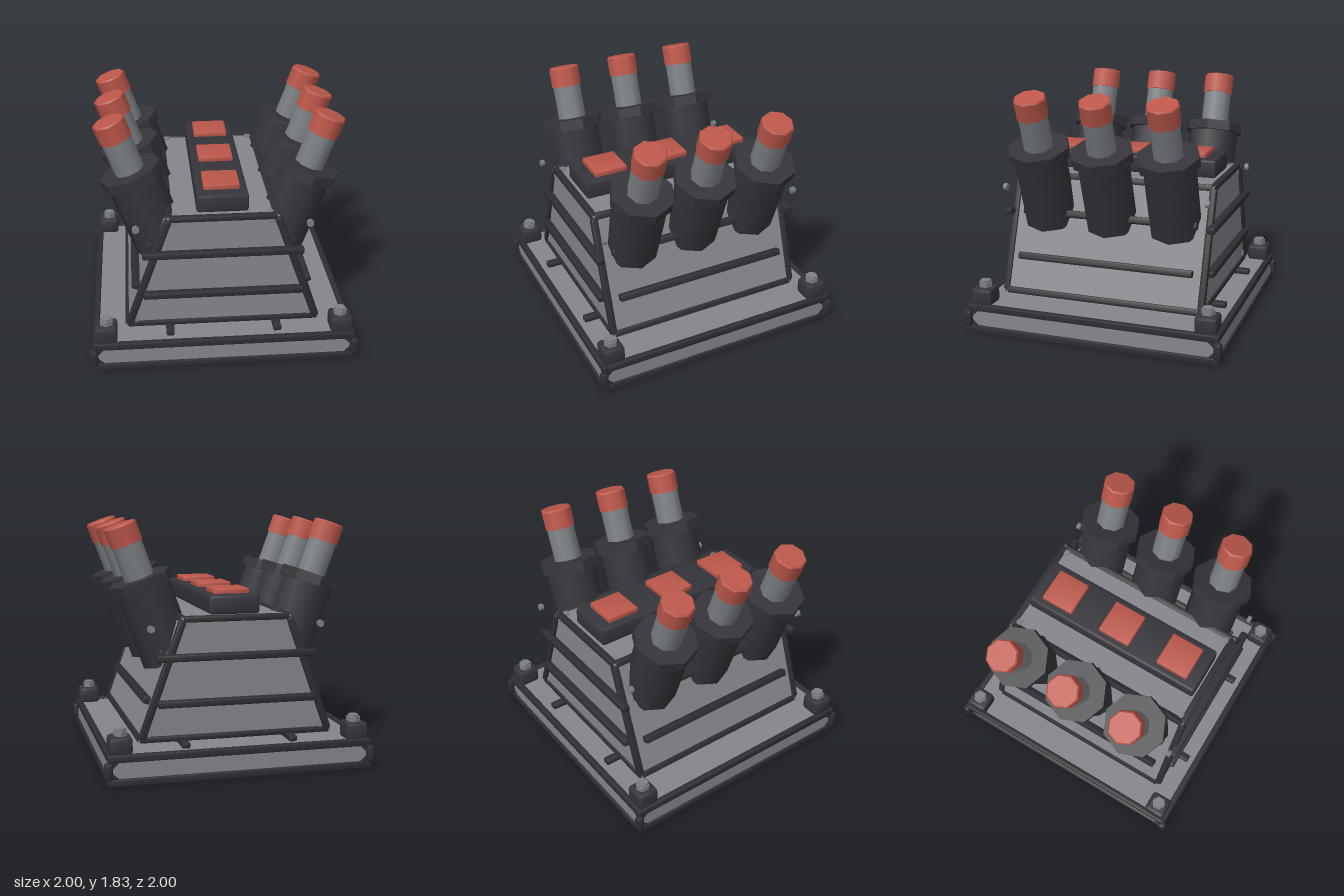
import * as THREE from 'three';
import { toCreasedNormals } from 'three/addons/utils/BufferGeometryUtils.js';
import { RoundedBoxGeometry } from 'three/addons/geometries/RoundedBoxGeometry.js';

const mat = (name, color) => {
  const m = new THREE.MeshStandardMaterial({ color });
  m.name = name;
  return m;
};

export function createModel() {
  const model = new THREE.Group();
  model.name = 'launcherBlock';
  const grey = mat('panelGrey', 0x84868b);
  const steel = mat('steelGrey', 0x7c8084);
  const dark = mat('housingDark', 0x35343a);
  const trim = mat('trimDark', 0x2e2e33);
  const red = mat('warningRed', 0xbc574a);

  const add = (name, geo, material, x = 0, y = 0, z = 0, rz = 0, parent = model) => {
    const mesh = new THREE.Mesh(geo, material);
    mesh.name = name;
    mesh.position.set(x, y, z);
    mesh.rotation.z = rz;
    parent.add(mesh);
    return mesh;
  };
  // box with chamfered edges
  const bevelBox = (w, h, d, r = 0.012) => toCreasedNormals(new RoundedBoxGeometry(w, h, d, 1, r), 0.4);
  const cyl = (r, h, n = 8, rTop = r) => new THREE.CylinderGeometry(rTop, r, h, n);
  const shape = points => new THREE.Shape(points.map(p => new THREE.Vector2(...p)));
  const extrude = (points, depth) => new THREE.ExtrudeGeometry(shape(points), { depth, bevelEnabled: false });
  const signs = [-1, 1];

  // base slab with its edge frame
  add('baseSlab', new THREE.BoxGeometry(1.92, 0.208, 1.92), grey, 0, 0.106, 0);
  for (const s of signs) {
    for (const y of [0.03, 0.2]) {
      add('baseRailX', bevelBox(1.95, 0.055, 0.045, 0.01), trim, 0, y, s * 0.9525);
      add('baseRailZ', bevelBox(0.045, 0.055, 1.95, 0.01), trim, s * 0.9525, y, 0);
    }
    for (const t of signs) {
      add('basePost', bevelBox(0.06, 0.13, 0.06, 0.022), trim, s * 0.97, 0.115, t * 0.97);
    }
  }

  // small triangular plates that cut the corners of the base side panels
  const gusset = extrude([[0, 0], [0.05, 0], [0, 0.05]], 0.008);
  for (let side = 0; side < 4; side++) {
    const face = new THREE.Group();
    face.name = 'baseCorners';
    face.rotation.y = side * Math.PI / 2;
    model.add(face);
    [[-0.945, 0.055], [0.945, 0.055], [0.945, 0.175], [-0.945, 0.175]].forEach(([x, y], k) =>
      add('baseGusset', gusset, trim, x, y, 0.96, k * Math.PI / 2, face));
  }

  // corner blocks with hex bolts
  for (const s of signs) for (const t of signs) {
    add('cornerBlock', bevelBox(0.165, 0.13, 0.165, 0.024), dark, s * 0.875, 0.28, t * 0.87);
    add('cornerBolt', toCreasedNormals(cyl(0.052, 0.04, 6), 0.4), steel, s * 0.87, 0.362, t * 0.87);
    add('cornerBoltTip', cyl(0.04, 0.016, 8), steel, s * 0.87, 0.388, t * 0.87);
  }

  // tapered body
  const [xb, yb, xt, yt] = [0.725, 0.25, 0.405, 1.14];
  const lean = Math.atan2(xb - xt, yt - yb);
  const slopeX = y => xb - (y - yb) * Math.tan(lean);
  add('body', extrude([[-xb, yb], [xb, yb], [xt, yt], [-xt, yt]], 1.55), grey, 0, 0, -0.775);

  const slant = Math.hypot(xb - xt, yt - yb);
  for (const s of signs) {
    // frame and bars of the front and back faces
    add('frameBottom', bevelBox(1.43, 0.045, 0.05), trim, 0, 0.272, s * 0.765);
    add('frameTop', bevelBox(0.78, 0.045, 0.05), trim, 0, 1.13, s * 0.765);
    for (const t of signs) {
      add('frameSlant', bevelBox(0.055, slant - 0.04, 0.055, 0.018), trim,
        t * ((xb + xt) / 2 - 0.016), (yb + yt) / 2 + 0.005, s * 0.772, t * lean);
    }
    for (const y of [0.53, 0.86]) {
      add('faceBar', bevelBox(1.18, 0.052, 0.06), trim, 0, y, s * 0.803);
      add('sideBar', bevelBox(0.06, 0.055, 1.38), trim, s * (slopeX(y) + 0.02), y + 0.01, 0, s * lean);
    }
    // frame along the body sides
    add('sideFrameBottom', bevelBox(0.05, 0.05, 1.53), trim, s * 0.704, 0.275, 0, s * lean);
    add('sideFrameTop', bevelBox(0.05, 0.05, 1.53), trim, s * 0.39, 1.128, 0, s * lean);
    // skids beneath the body
    add('skid', bevelBox(0.06, 0.045, 1.78), trim, s * 0.4, 0.242, 0);
    // screws in the panel corners and beside the tubes
    for (const t of signs) {
      for (const y of [0.315, 1.09]) {
        add('panelScrew', cyl(0.026, 0.02, 6), steel, s * (slopeX(y) - 0.055), y, t * 0.772).rotation.x = Math.PI / 2;
      }
      add('topScrew', cyl(0.028, 0.02, 6), steel, s * 0.345, 1.14, t * 0.725);
      add('outerBolt', cyl(0.028, 0.03, 6), steel, s * 0.63, 1.07, t * 0.79).rotation.x = Math.PI / 2;
    }
  }

  // control box with three buttons
  add('controlBox', bevelBox(0.38, 0.14, 1.46, 0.022), dark, 0, 1.22, 0);
  for (const z of [-0.505, 0, 0.505]) {
    add('button', bevelBox(0.265, 0.05, 0.26, 0.01), red, 0, 1.303, z);
  }

  // three tilted tubes on each side
  for (const s of signs) for (const z of [-0.5, 0, 0.5]) {
    const tube = new THREE.Group();
    tube.name = 'tube';
    tube.position.set(s * 0.44, 0.81, z);
    tube.rotation.z = -s * THREE.MathUtils.degToRad(20);
    model.add(tube);
    add('tubeHousing', cyl(0.203, 0.58), dark, 0, 0.29, 0, 0, tube);
    add('tubeCollar', toCreasedNormals(cyl(0.236, 0.075), 0.4), dark, 0, 0.602, 0, 0, tube);
    add('tubeShaft', cyl(0.113, 0.3), steel, 0, 0.77, 0, 0, tube);
    add('tubeCap', cyl(0.122, 0.14), red, 0, 0.965, 0, 0, tube);
    add('tubeCapEdge', cyl(0.122, 0.012, 8, 0.112), red, 0, 1.041, 0, 0, tube);
  }
  return model;
}
